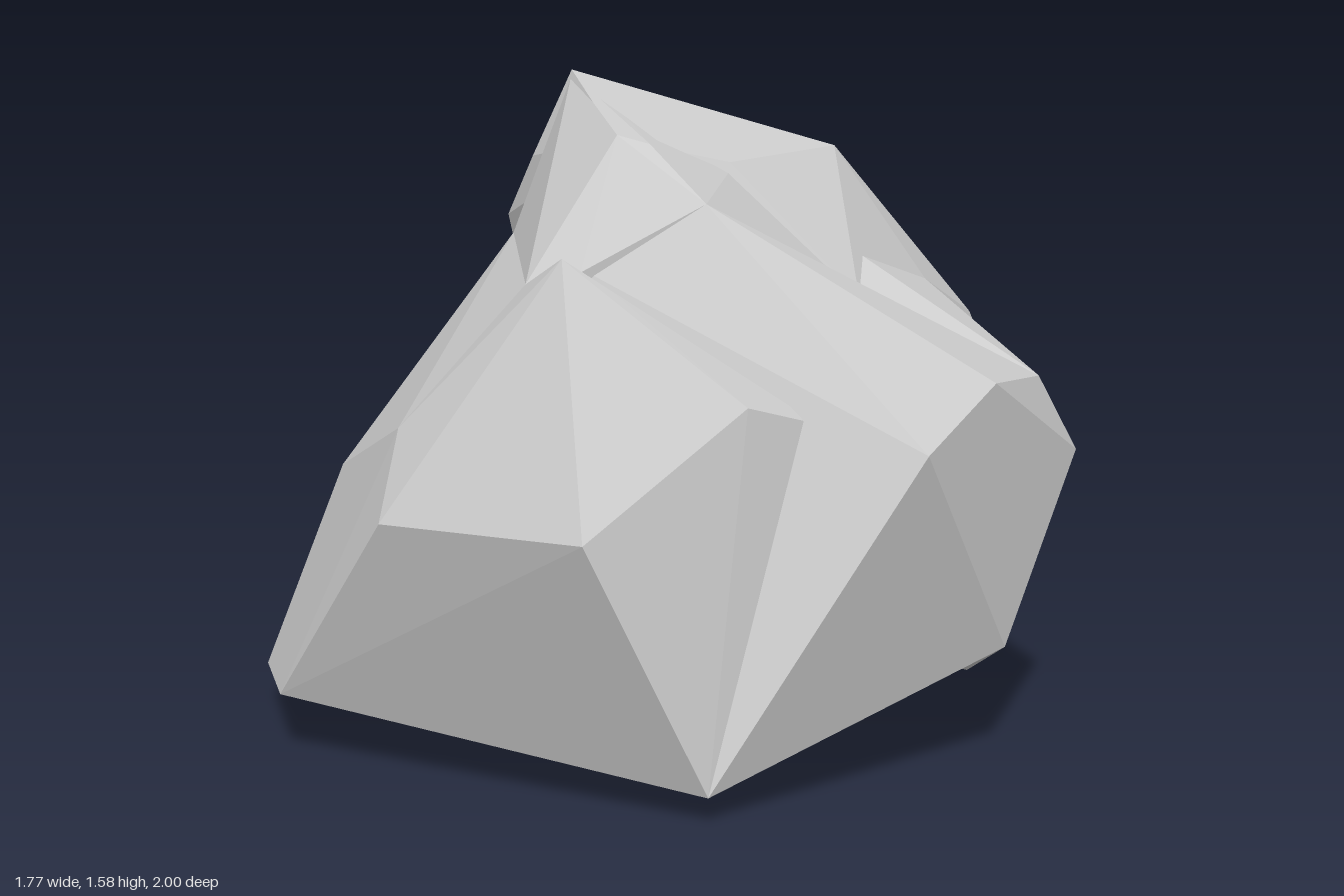
import * as THREE from 'three';
import { ConvexGeometry } from 'three/addons/geometries/ConvexGeometry.js';

// A faceted rock: overlapping angular chunks, each the hull of its corners.
const rockMaterial = new THREE.MeshStandardMaterial({ color: 0xcccccc, flatShading: true });

function chunk(name, corners) {
  const points = corners.map((c) => new THREE.Vector3(...c));
  const mesh = new THREE.Mesh(new ConvexGeometry(points), rockMaterial);
  mesh.name = name;
  return mesh;
}

export function createModel() {
  const rock = new THREE.Group();
  rock.name = 'rock';

  // Broad shoulder that slopes down to the +x side
  rock.add(chunk('sideShoulder', [
    [0.57, 0.06, 0.76], [-0.54, 0.14, 0.9], [0.88, 0.27, 0], [0.6, 0.15, -0.24], [-0.62, 0.12, -0.42],
    [0.88, 0.77, 0.38], [0.88, 0.89, 0.07], [0.84, 0.87, -0.23], [0.88, 0.68, -0.36],
    [0.42, 1.04, -0.11], [0.26, 1.28, 0.31], [0.06, 1.13, 0.5], [0, 1, 0],
  ]));

  // Corner joining the shoulder to the rear mass
  rock.add(chunk('rearCorner', [
    [0.88, 0.27, 0], [0.88, 0.68, -0.36], [0.84, 0.87, -0.23], [0.42, 1.04, -0.11], [0.33, 1.14, -0.24],
    [0.37, 1.05, -0.53], [0.42, 0.92, -0.7], [0.66, 0.7, -0.52], [0.55, 0.62, -0.68],
    [0.45, 0, -0.65], [0.6, 0.15, -0.24], [0, 0.15, -0.3],
  ]));

  // Tall rear mass with the peak and the sloping plateau
  rock.add(chunk('rearPeak', [
    // base
    [0.45, 0, -0.65], [0.1, 0.04, -0.75], [-0.46, 0.04, -0.8], [0.5, 0.15, -0.24], [-0.62, 0.12, -0.42],
    [-0.42, 0.13, -0.97], [0.04, 0.12, -0.97],
    // back and sides
    [-0.58, 0.44, -1], [-0.72, 0.4, -0.91], [0.04, 0.35, -0.99], [0.44, 0.33, -0.92], [0.44, 0.6, -0.94],
    [-0.79, 0.6, -0.82], [-0.79, 0.44, -0.58], [-0.49, 0.76, -0.87], [0.36, 0.94, -0.8], [-0.7, 0.9, -0.54],
    // plateau and peak
    [0.42, 1.04, -0.11], [0.37, 1.05, -0.53], [0.33, 1.14, -0.24], [0.18, 1.39, -0.39], [-0.12, 1.36, -0.55],
    [-0.3, 1.44, -0.55], [-0.32, 1.22, -0.69], [-0.46, 1.47, -0.34], [-0.7, 1.27, -0.42],
    [-0.42, 1.58, -0.08], [-0.33, 1.53, -0.09], [-0.02, 1.42, 0.27], [0.12, 1.36, 0],
    [-0.51, 1.36, -0.03], [-0.65, 1.2, -0.1],
  ]));

  // Cliff below the peak, dropping into the hollow behind the front block
  rock.add(chunk('peakCliff', [
    [-0.42, 1.57, -0.08], [-0.33, 1.53, -0.09], [-0.02, 1.43, 0.27], [0.06, 1.41, 0.25],
    [-0.48, 1.17, 0.09], [-0.23, 1.22, 0.24], [-0.06, 1.1, 0.57], [0.06, 1.13, 0.52], [0.26, 1.28, 0.31],
    [0.12, 1.34, 0], [0.42, 1.04, -0.11], [-0.2, 0.6, 0.3], [0.2, 0.6, 0.3],
  ]));

  // Long flank falling from the peak to the front corner on the -x side
  rock.add(chunk('frontFlank', [
    [-0.87, 0.1, 0.61], [-0.89, 0.56, 0.3], [-0.54, 0.14, 0.9], [-0.33, 0.35, 0.91], [-0.22, 0.79, 0.83],
    [-0.1, 0.97, 0.7], [-0.06, 1.1, 0.57], [-0.23, 1.22, 0.24], [-0.48, 1.17, 0.09], [-0.63, 1.12, -0.1],
    [-0.7, 0.92, -0.45], [-0.79, 0.5, -0.7], [-0.62, 0.12, -0.42], [0, 0.14, -0.2],
  ]));

  // Block standing out of the front
  rock.add(chunk('frontBlock', [
    [0.16, 1.18, 0.72], [0.25, 1.11, 0.66], [0.55, 0.87, 0.58], [0.62, 0.82, 0.41], [0.4, 0.62, 0.97],
    [-0.13, 0.61, 1], [-0.22, 0.79, 0.83], [-0.1, 0.97, 0.7], [-0.06, 1.1, 0.57], [0.06, 1.13, 0.52],
    [0.42, 0.26, 0.84], [-0.33, 0.35, 0.91], [-0.54, 0.14, 0.9], [0.57, 0.06, 0.76], [0.1, 0.3, 0.2],
  ]));

  return rock;
}
